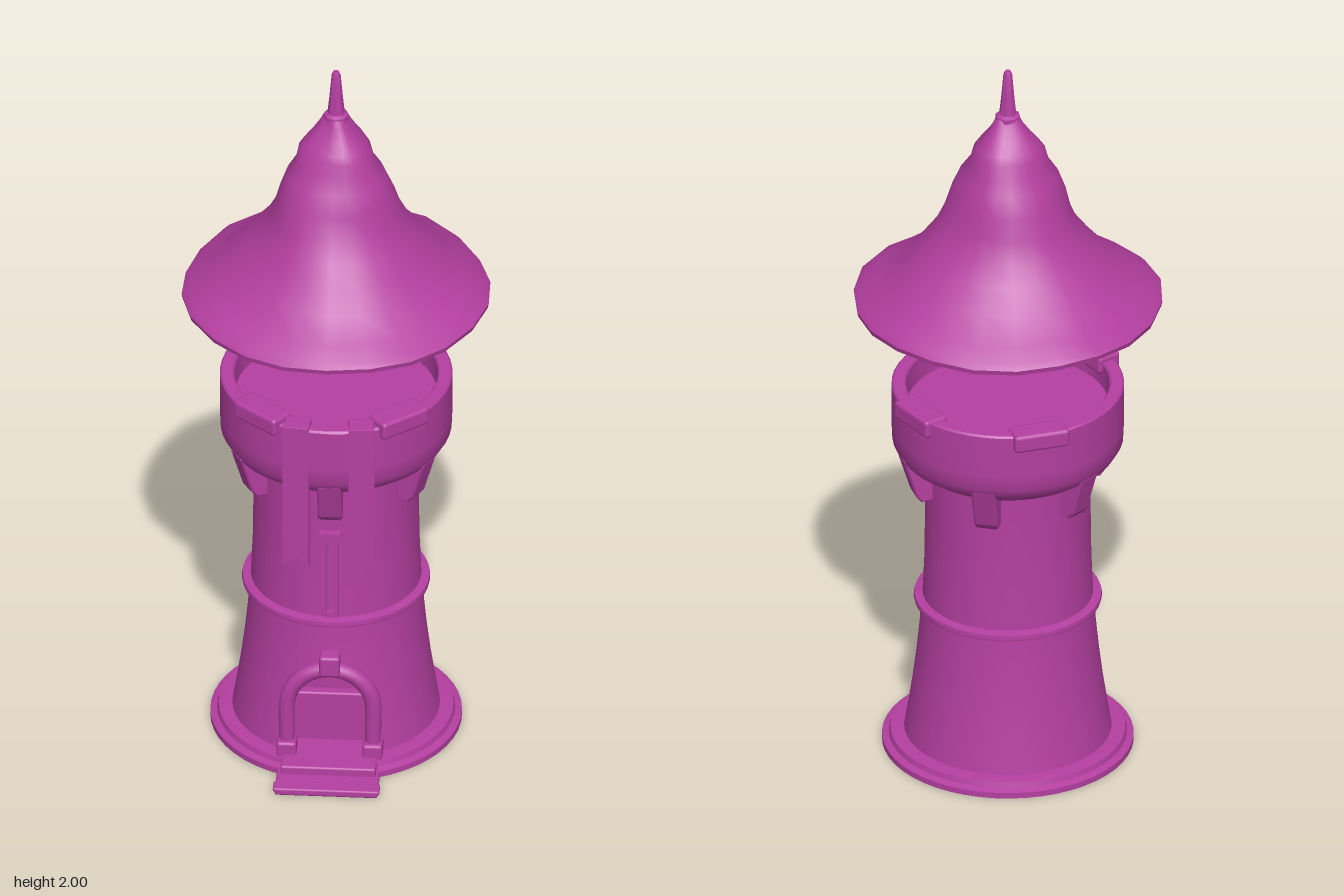
import * as THREE from 'three';
import { toCreasedNormals } from 'three/addons/utils/BufferGeometryUtils.js';
import { RoundedBoxGeometry } from 'three/addons/geometries/RoundedBoxGeometry.js';

const mat = new THREE.MeshStandardMaterial({ color: 0xb43fa0, side: THREE.DoubleSide });
const TAU = Math.PI * 2;
const rad = THREE.MathUtils.degToRad;

function mesh(name, geo, parent, x = 0, y = 0, z = 0) {
  const m = new THREE.Mesh(geo, mat);
  m.name = name;
  m.position.set(x, y, z);
  parent.add(m);
  return m;
}

// Turned shape from [radius, height] pairs
function turned(profile, sides, start = 0, length = TAU) {
  const pts = profile.map(([r, y]) => new THREE.Vector2(r, y));
  return toCreasedNormals(new THREE.LatheGeometry(pts, sides, start, length), 0.65);
}

function box(name, w, h, d, parent, x, y, z, round = 0.006) {
  return mesh(name, new RoundedBoxGeometry(w, h, d, 2, round), parent, x, y, z);
}

// Places a child group on a circle, its local +z pointing outwards
function around(name, degrees, parent) {
  const g = new THREE.Group();
  g.name = name;
  g.rotation.y = rad(degrees);
  parent.add(g);
  return g;
}

const WALL = [[0.272, 0.04], [0.262, 0.1], [0.25, 0.18], [0.24, 0.26], [0.231, 0.35], [0.226, 0.43]];
function wallRadius(y) {
  if (y <= WALL[0][1]) return WALL[0][0];
  for (let i = 1; i < WALL.length; i++) {
    const [r0, y0] = WALL[i - 1], [r1, y1] = WALL[i];
    if (y <= y1) return r0 + (r1 - r0) * (y - y0) / (y1 - y0);
  }
  return WALL[WALL.length - 1][0];
}

const DOOR = { half: 0.1, spring: 0.18, angle: 0.385 };

// Outline of an arch, from the right foot over the top to the left foot
function archPoints(half, foot, z) {
  const pts = [new THREE.Vector3(-half, foot, z), new THREE.Vector3(-half, (foot + DOOR.spring) / 2, z)];
  for (let i = 0; i <= 10; i++) {
    const a = Math.PI * (1 - i / 10);
    pts.push(new THREE.Vector3(half * Math.cos(a), DOOR.spring + half * Math.sin(a), z));
  }
  pts.push(new THREE.Vector3(half, (foot + DOOR.spring) / 2, z), new THREE.Vector3(half, foot, z));
  return pts;
}

function buildTower(root) {
  const tower = new THREE.Group();
  tower.name = 'tower';
  root.add(tower);

  // Flared foot and lower wall, left open at the doorway
  const foot = [[0.29, 0.0], [0.33, 0.0], [0.33, 0.016], [0.312, 0.022], [0.308, 0.036], [0.28, 0.04]];
  mesh('lowerWall', turned([...foot, ...WALL], 44, DOOR.angle, TAU - 2 * DOOR.angle), tower);

  // Wall above the arch
  const geo = new THREE.PlaneGeometry(2, 1, 20, 8);
  const p = geo.attributes.position;
  for (let i = 0; i < p.count; i++) {
    const u = p.getX(i), v = p.getY(i) + 0.5;
    const low = Math.abs(u) > 0.999 ? 0.04 : DOOR.spring + DOOR.half * Math.sqrt(1 - u * u);
    const y = low + (0.43 - low) * v, r = wallRadius(y);
    p.setXYZ(i, r * Math.sin(u * DOOR.angle), y, r * Math.cos(u * DOOR.angle));
  }
  geo.computeVertexNormals();
  mesh('wallOverDoor', geo, tower);

  mesh('bandRing', turned([[0.22, 0.422], [0.245, 0.424], [0.247, 0.432], [0.245, 0.44], [0.22, 0.445]], 48), tower);

  // Upper wall, flared crown, parapet and roof deck
  mesh('upperWall', turned([[0.224, 0.435], [0.219, 0.55], [0.217, 0.7], [0.22, 0.86]], 48), tower);
  mesh('crown', turned([[0.215, 0.845], [0.25, 0.85], [0.285, 0.875], [0.303, 0.905], [0.305, 0.95],
    [0.305, 1.065], [0.3, 1.07], [0.272, 1.07], [0.267, 1.065], [0.265, 1.0], [0, 1.0]], 48), tower);

  // Wedge brackets under the crown
  const side = new THREE.Shape();
  side.moveTo(0.2, 0.765);
  for (const [a, b] of [[0.243, 0.765], [0.255, 0.78], [0.288, 0.885], [0.2, 0.9]]) side.lineTo(a, b);
  for (let i = 0; i < 6; i++) {
    const g = around('bracket', i * 60, tower);
    const b = new THREE.ExtrudeGeometry(side, {
      depth: 0.052, bevelEnabled: true, bevelSize: 0.005, bevelThickness: 0.006, bevelSegments: 1 });
    b.translate(0, 0, -0.026);
    b.rotateY(-Math.PI / 2);
    mesh('bracketBlock', b, g);
  }

  // Stone caps gripping the parapet
  for (const [a, top] of [[40, 1.087], [-40, 1.087], [138, 1.077], [-150, 1.077]]) {
    const g = around('parapetCap', a, tower);
    box('capTop', 0.15, 0.05, 0.07, g, 0, top - 0.025, 0.279, 0.01);
  }
}

function buildDoor(root) {
  const door = new THREE.Group();
  door.name = 'door';
  root.add(door);

  // Recess: side lining and back panel
  const arch = archPoints(DOOR.half, 0.03, 0);
  const n = arch.length - 1;
  const lining = new THREE.PlaneGeometry(1, 1, n, 1);
  const p = lining.attributes.position;
  for (let i = 0; i < p.count; i++) {
    const a = arch[i % (n + 1)];
    p.setXYZ(i, a.x, a.y, i > n ? 0.16 : 0.245);
  }
  lining.computeVertexNormals();
  mesh('doorLining', lining, door);
  const panel = new THREE.Shape(arch.map(a => new THREE.Vector2(a.x, a.y)));
  mesh('doorPanel', new THREE.ShapeGeometry(panel), door, 0, 0, 0.16);
  box('lowerDoorPanel', 0.198, 0.15, 0.03, door, 0, 0.11, 0.175);

  // Rounded stone frame, foot blocks and keystone
  const curve = new THREE.CatmullRomCurve3(archPoints(0.113, 0.03, 0.242));
  mesh('doorFrame', new THREE.TubeGeometry(curve, 48, 0.022, 10), door);
  for (const s of [-1, 1]) box('frameFoot', 0.052, 0.045, 0.056, door, s * 0.113, 0.055, 0.247, 0.008);
  box('keystone', 0.054, 0.06, 0.07, door, 0, 0.315, 0.238, 0.008);

  // Two entrance steps
  box('upperStep', 0.25, 0.04, 0.17, door, 0, 0.021, 0.245);
  box('lowerStep', 0.27, 0.018, 0.17, door, 0, 0.009, 0.323);
  box('stepEdge', 0.28, 0.012, 0.04, door, 0, 0.015, 0.388, 0.005);
}

function buildFront(root) {
  // Arrow slit with raised frame
  const slit = new THREE.Group();
  slit.name = 'arrowSlit';
  root.add(slit);
  const outer = new THREE.Shape();
  outer.moveTo(-0.022, 0.45);
  for (const [x, y] of [[0.022, 0.45], [0.022, 0.68], [0.028, 0.69], [0.028, 0.708], [-0.028, 0.708], [-0.028, 0.69], [-0.022, 0.68]]) outer.lineTo(x, y);
  const hole = new THREE.Path();
  hole.moveTo(-0.01, 0.465);
  for (const [x, y] of [[-0.01, 0.685], [0.01, 0.685], [0.01, 0.465]]) hole.lineTo(x, y);
  outer.holes.push(hole);
  mesh('slitFrame', new THREE.ExtrudeGeometry(outer, { depth: 0.025, bevelEnabled: false }), slit, 0, 0, 0.211);

  // Swallowtail banners folded over the parapet
  const cloth = new THREE.Shape();
  cloth.moveTo(-0.034, 1.078);
  for (const [x, y] of [[-0.034, 0.65], [0, 0.678], [0.034, 0.65], [0.034, 1.078]]) cloth.lineTo(x, y);
  for (const s of [-1, 1]) {
    const g = around('banner', s * 5, root);
    mesh('bannerCloth', new THREE.ExtrudeGeometry(cloth, { depth: 0.016, bevelEnabled: false }), g, s * 0.06, 0, 0.294);
    box('bannerFold', 0.068, 0.014, 0.06, g, s * 0.06, 1.072, 0.28, 0.005);
    box('bannerBack', 0.068, 0.06, 0.012, g, s * 0.06, 1.045, 0.257, 0.004);
  }
}

function buildRoof(root) {
  const roof = new THREE.Group();
  roof.name = 'roof';
  root.add(roof);

  // Sagging bell roof with an uneven brim and a fold at the front
  const profile = [[0.3, 1.312], [0.385, 1.305], [0.403, 1.312], [0.406, 1.325], [0.392, 1.34], [0.35, 1.365],
    [0.285, 1.42], [0.235, 1.475], [0.195, 1.525], [0.168, 1.58], [0.152, 1.635], [0.13, 1.69], [0.104, 1.73],
    [0.096, 1.765], [0.083, 1.785], [0.06, 1.815], [0.04, 1.845], [0.03, 1.865]];
  const geo = new THREE.LatheGeometry(profile.map(([r, y]) => new THREE.Vector2(r, y)), 22);
  const p = geo.attributes.position;
  for (let i = 0; i < p.count; i++) {
    const x = p.getX(i), y = p.getY(i), z = p.getZ(i);
    const a = Math.atan2(x, z), r = Math.hypot(x, z);
    const front = Math.max(0, Math.cos(a - 0.3)) ** 3;
    const fold = 0.022 * front * Math.exp(-(((y - 1.5) / 0.035) ** 2));
    const wave = r > 0.31 ? 0.005 * Math.sin(5 * a + 1) : 0.004 * Math.sin(3 * a + y * 14);
    const k = (r + fold + wave * (r > 0.31 ? 0.6 : 1)) / r;
    p.setXYZ(i, x * k, y + (r > 0.31 ? wave : 0), z * k);
  }
  geo.computeVertexNormals();
  mesh('roofShell', toCreasedNormals(geo, 0.8), roof);

  mesh('roofCollar', turned([[0, 1.305], [0.285, 1.305], [0.285, 1.278], [0.308, 1.278], [0.308, 1.318]], 16), roof);
  mesh('finial', turned([[0.033, 1.855], [0.033, 1.868], [0.023, 1.874], [0.018, 1.92], [0.012, 1.99], [0.008, 2.0], [0, 2.0]], 8), roof);
}

export function createModel() {
  const root = new THREE.Group();
  root.name = 'watchtower';
  buildTower(root);
  buildDoor(root);
  buildFront(root);
  buildRoof(root);
  return root;
}
